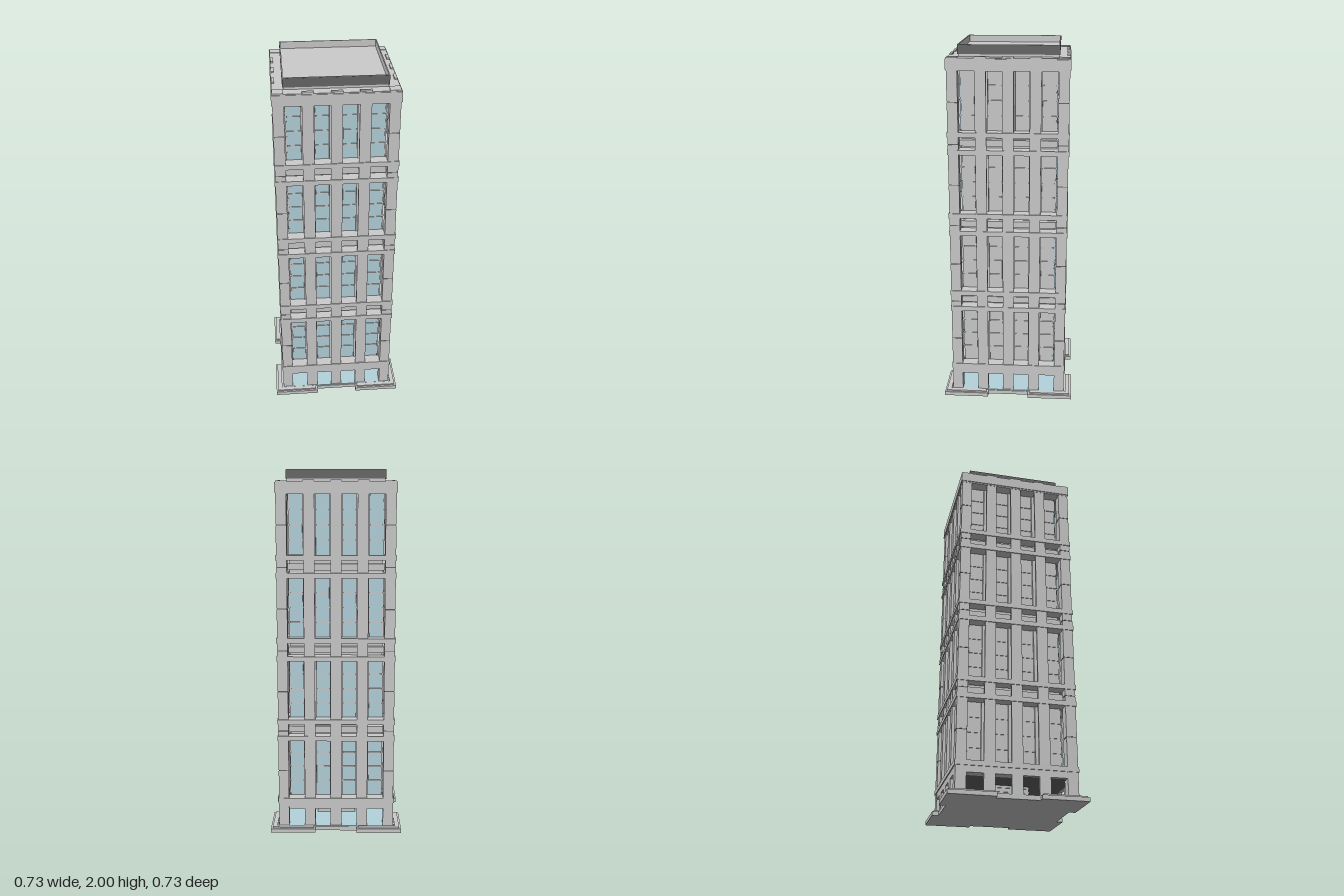
import * as THREE from 'three';

const mat = (color) => new THREE.MeshStandardMaterial({ color, flatShading: true });

export function createModel() {
  const model = new THREE.Group();
  const grey = mat(0xcccccc), dark = mat(0x666666), glass = mat(0xb4d2dc);

  // Box given by its bounds
  function box(name, x0, x1, y0, y1, z0, z1, material = grey, parent = model) {
    const mesh = new THREE.Mesh(new THREE.BoxGeometry(x1 - x0, y1 - y0, z1 - z0), material);
    mesh.position.set((x0 + x1) / 2, (y0 + y1) / 2, (z0 + z1) / 2);
    mesh.name = name;
    parent.add(mesh);
    return mesh;
  }

  // Square frame lying flat, with a square hole
  function ring(name, outer, inner, y0, y1, material = grey) {
    const square = (path, r) => path.moveTo(-r, -r).lineTo(r, -r).lineTo(r, r).lineTo(-r, r).closePath();
    const shape = square(new THREE.Shape(), outer);
    shape.holes.push(square(new THREE.Path(), inner));
    const geometry = new THREE.ExtrudeGeometry(shape, { depth: y1 - y0, bevelEnabled: false });
    geometry.rotateX(-Math.PI / 2);
    const mesh = new THREE.Mesh(geometry, material);
    mesh.position.y = y0;
    mesh.name = name;
    model.add(mesh);
  }

  // Base, with a pale lobby floor
  box('basePlate', -0.33, 0.33, 0, 0.022, -0.33, 0.33);
  box('lobbyFloor', -0.325, 0.325, 0.022, 0.026, -0.325, 0.325, glass);

  // L-shaped corner pavements with a raised inset
  for (let i = 0; i < 4; i++) {
    const corner = new THREE.Group();
    corner.name = 'cornerPavement';
    corner.rotation.y = i * Math.PI / 2;
    [[0, 0.022], [0.01, 0.03]].forEach(([d, top]) => {
      const a = 0.115 + d, b = 0.365 - d, c = 0.33;
      const shape = new THREE.Shape([[a, c], [a, b], [b, b], [b, a], [c, a], [c, c]]
        .map(([x, y]) => new THREE.Vector2(x, y)).reverse());
      const geometry = new THREE.ExtrudeGeometry(shape, { depth: top, bevelEnabled: false });
      geometry.rotateX(-Math.PI / 2);
      const mesh = new THREE.Mesh(geometry, grey);
      mesh.name = 'pavementLayer';
      corner.add(mesh);
    });
    model.add(corner);
  }

  // Lobby core with horizontal ribs
  box('lobbyCore', -0.11, 0.11, 0.026, 0.13, -0.11, 0.11);
  for (let y = 0.045; y < 0.12; y += 0.022) box('lobbyRib', -0.115, 0.115, y, y + 0.008, -0.115, 0.115);

  // Tower body
  box('firstFloorSlab', -0.3, 0.3, 0.125, 0.145, -0.3, 0.3, dark);
  box('towerBody', -0.255, 0.255, 0.145, 1.93, -0.255, 0.255);

  // Storeys: the glazed heights between the bands
  const storeys = [[0.19, 0.52], [0.64, 0.97], [1.095, 1.425], [1.545, 1.87]];

  // The four facades
  for (let side = 0; side < 4; side++) {
    const facade = new THREE.Group();
    facade.name = 'facade';
    facade.rotation.y = side * Math.PI / 2;
    model.add(facade);

    // Thin fins standing in front of the glazing
    for (const x of [-0.145, 0, 0.145])
      box('fin', x - 0.03, x + 0.03, 0.022, 1.945, 0.305, 0.32, grey, facade);

    const paneMaterial = side % 2 ? grey : glass;
    for (const [y0, y1] of storeys) {
      for (const x of [-0.2175, -0.0725, 0.0725, 0.2175]) {
        const w = 0.035;
        box('windowPane', x - w, x + w, y0, y1, 0.25, 0.26, paneMaterial, facade);
        for (let k = 1; k < 4; k++) {
          const y = y0 + (y1 - y0) * k / 4;
          box('windowBar', x - w, x + w, y - 0.003, y + 0.003, 0.255, 0.264, grey, facade);
        }
      }
      // Mullions beside the panes
      for (const x of [-0.145, 0, 0.145])
        box('mullion', x - 0.035, x + 0.035, y0, y1, 0.25, 0.268, grey, facade);
    }
    // Spandrels between each pair of bands
    for (const y of [0.58, 1.03, 1.485])
      box('spandrel', -0.262, 0.262, y - 0.02, y + 0.015, 0.25, 0.285, grey, facade);
  }

  // Corner piers built of stacked blocks with dark joints
  const joints = [0.022, 0.35, 0.58, 0.805, 1.03, 1.26, 1.485, 1.71, 1.945];
  for (const sx of [-1, 1]) for (const sz of [-1, 1]) {
    const pier = new THREE.Group();
    pier.name = 'cornerPier';
    pier.position.set(sx * 0.2925, 0, sz * 0.2925);
    model.add(pier);
    for (let i = 0; i < joints.length - 1; i++) {
      box('pierBlock', -0.0285, 0.0285, joints[i], joints[i + 1] - 0.005, -0.0285, 0.0285, grey, pier);
      if (i) box('pierJoint', -0.026, 0.026, joints[i] - 0.005, joints[i], -0.026, 0.026, dark, pier);
    }
  }

  // Horizontal bands
  for (const y of [0.16, 0.52, 0.615, 0.97, 1.07, 1.425, 1.52])
    ring('band', 0.325, 0.262, y, y + 0.027);
  ring('groundLintel', 0.32, 0.262, 0.125, 0.16);

  // Cornice, roof slab and rooftop tray
  ring('cornice', 0.326, 0.262, 1.878, 1.932);
  ring('corniceLip', 0.322, 0.262, 1.87, 1.937);
  box('roofSlab', -0.3, 0.3, 1.925, 1.937, -0.3, 0.3);
  box('rooftopDeck', -0.263, 0.263, 1.937, 1.962, -0.263, 0.263);
  ring('rooftopWall', 0.268, 0.262, 1.95, 1.998, dark);
  ring('rooftopWallLining', 0.2635, 0.2615, 1.955, 2.0);
  ring('rooftopCap', 0.267, 0.262, 1.998, 2.0);
  return model;
}
